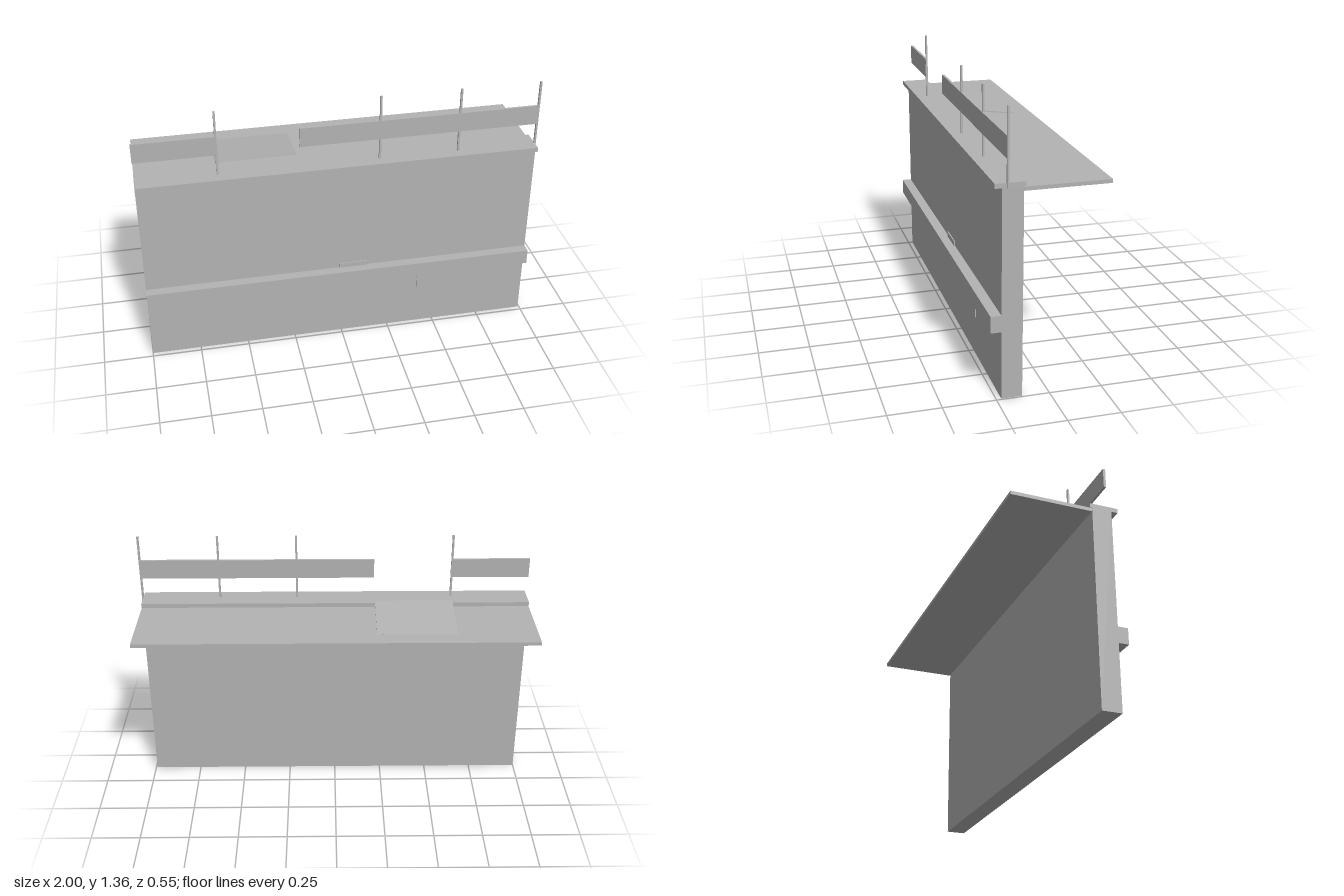
import * as THREE from 'three';

export function createModel() {
  const group = new THREE.Group();
  group.name = 'rampartWall';
  const grey = new THREE.MeshStandardMaterial({ color: 0xb3b3b3 });
  grey.name = 'plain grey';

  // Box given by its extents on each axis
  function block(name, [x0, x1], [y0, y1], [z0, z1]) {
    const mesh = new THREE.Mesh(new THREE.BoxGeometry(x1 - x0, y1 - y0, z1 - z0), grey);
    mesh.position.set((x0 + x1) / 2, (y0 + y1) / 2, (z0 + z1) / 2);
    mesh.name = name;
    group.add(mesh);
    return mesh;
  }

  const length = [-1, 0.993];

  // Wall, its coping and the walkway behind it
  block('wall', length, [0, 1], [0.128, 0.226]);
  block('coping', length, [1, 1.022], [0.118, 0.258]);
  block('walkway', length, [0.98, 0.998], [-0.275, 0.126]);

  // Ledge along the front, with two small plates on the wall
  block('frontLedge', length, [0.33, 0.41], [0.226, 0.276]);
  block('upperPlate', [-0.01, 0.135], [0.335, 0.435], [0.226, 0.232]);
  block('lowerPlate', [0.405, 0.55], [0.2, 0.3], [0.226, 0.232]);

  // Railing posts and boards, open above the hatch
  for (const x of [-0.603, 0.195, 0.594, 0.995]) {
    block('railingPost', [x - 0.005, x + 0.005], [1, 1.36], [0.195, 0.205]);
  }
  block('leftRailingBoard', [-1, -0.6], [1.13, 1.23], [0.194, 0.206]);
  block('rightRailingBoard', [-0.203, 0.993], [1.13, 1.23], [0.194, 0.206]);

  // Hatch cover raised at its wall side
  const hatch = block('hatch', [-0.603, -0.205], [1.013, 1.019], [-0.188, 0.108]);
  hatch.rotation.x = -Math.atan2(0.042, 0.295);

  return group;
}
